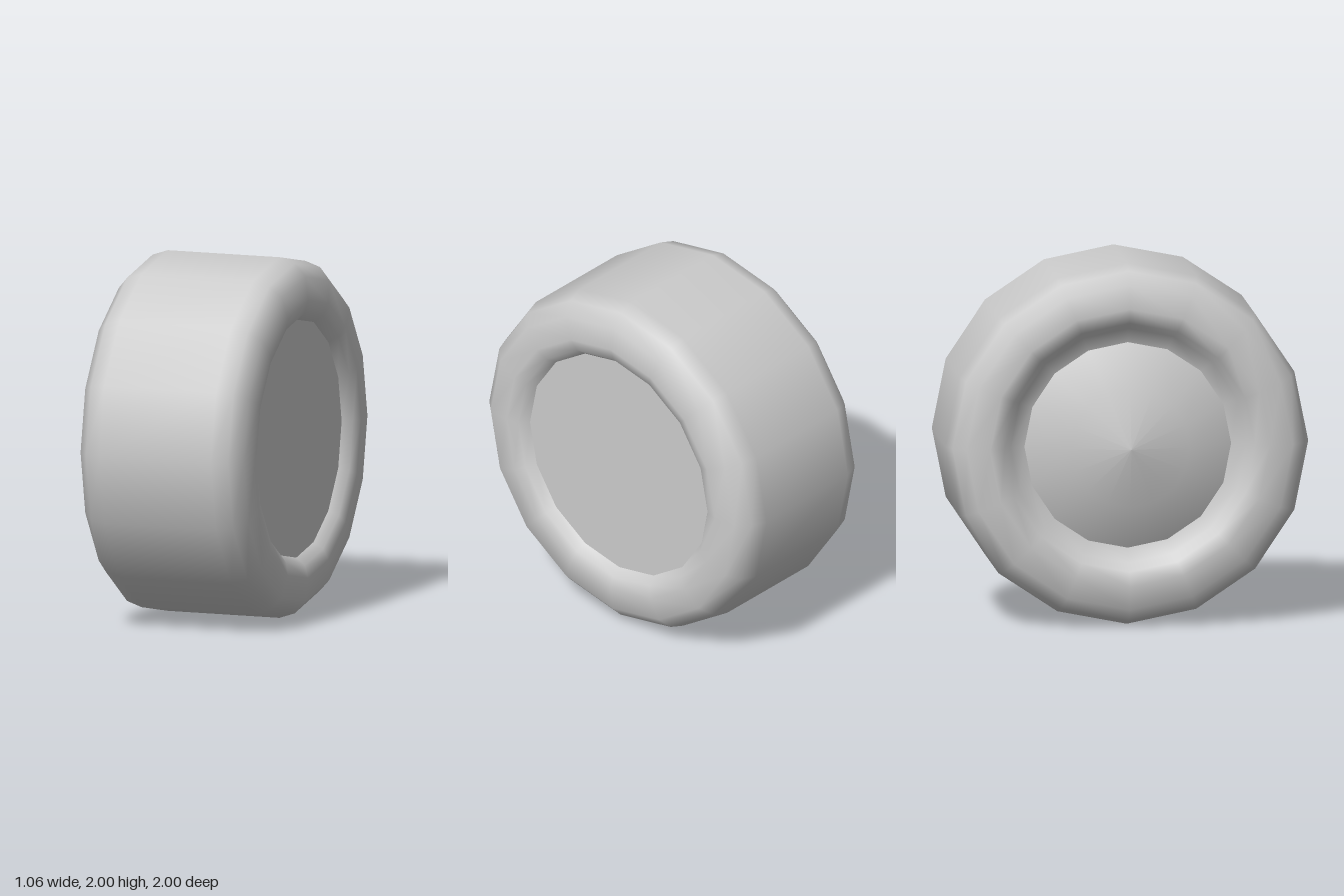
import * as THREE from 'three';

const SIDES = 16;

// Revolves a profile of [radius, x] points around the wheel axle (x axis)
function revolve(name, profile, material) {
  const points = profile.map(([r, x]) => new THREE.Vector2(r, x));
  const geometry = new THREE.LatheGeometry(points, SIDES);
  geometry.rotateZ(-Math.PI / 2);
  const mesh = new THREE.Mesh(geometry, material);
  mesh.name = name;
  return mesh;
}

export function createModel() {
  const material = new THREE.MeshStandardMaterial({ color: 0xcccccc, side: THREE.DoubleSide });
  const wheel = new THREE.Group();
  wheel.name = 'wheel';

  // Rounded tyre, rolling inwards to the rim on both sides
  const tyre = [
    [0.57, -0.35], [0.65, -0.38], [0.69, -0.45], [0.77, -0.47], [0.9, -0.45], [0.97, -0.39], [1, -0.3],
    [1, 0.36], [0.97, 0.45], [0.9, 0.515], [0.77, 0.53], [0.7, 0.51], [0.66, 0.46],
  ];
  wheel.add(revolve('tyre', tyre, material));

  // Shallow domed hub cap on the outer side
  wheel.add(revolve('hubCap', [[0, -0.53], [0.33, -0.47], [0.57, -0.35]], material));

  // Flat recessed disc on the inner side
  wheel.add(revolve('innerDisc', [[0.66, 0.46], [0, 0.46]], material));

  wheel.position.y = 1;
  const model = new THREE.Group();
  model.name = 'wheelModel';
  model.add(wheel);
  return model;
}
